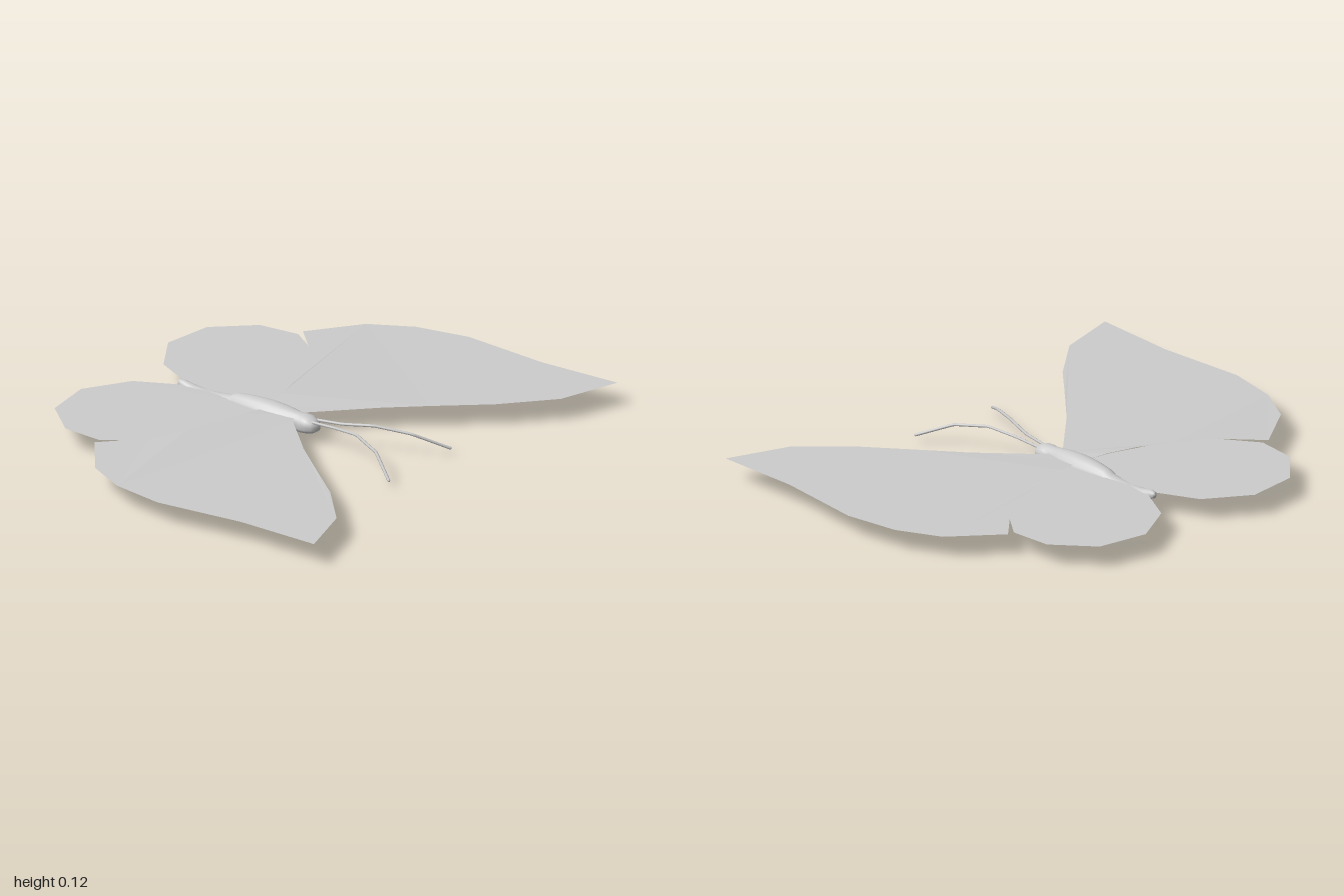
import * as THREE from 'three';

const material = new THREE.MeshStandardMaterial({ color: 0xcccccc });
const wingMaterial = new THREE.MeshStandardMaterial({ color: 0xcccccc, side: THREE.DoubleSide, flatShading: true });

// Outlines of the left wings: [x, z, height]
const FORE_WING = [
  [0, 0, 0.088], [0.05, 0.02, 0.088], [0.25, 0.22, 0.089], [0.37, 0.36, 0.09], [0.53, 0.55, 0.09],
  [0.72, 0.72, 0.09], [0.975, 0.80, 0.09], [0.965, 0.45, 0.09], [1.0, 0.08, 0.09],
  [0.96, -0.14, 0.09], [0.87, -0.31, 0.09], [0.67, -0.46, 0.09], [0.52, -0.31, 0.092],
  [0.38, -0.24, 0.095], [0.24, -0.185, 0.098], [0.12, -0.155, 0.098], [0, -0.13, 0.09],
];
const HIND_WING = [
  [0, -0.12, 0.086], [0.15, -0.14, 0.086], [0.35, -0.2, 0.087], [0.52, -0.29, 0.088],
  [0.64, -0.46, 0.089], [0.625, -0.63, 0.089], [0.49, -0.78, 0.089], [0.28, -0.81, 0.089],
  [0.1, -0.70, 0.088], [0.015, -0.53, 0.087], [0, -0.5, 0.087],
];

// Body sections from head to tail: [z, bottom, top, half width]
const BODY = [
  [0.106, 0.065, 0.065, 0], [0.103, 0.048, 0.083, 0.018], [0.09, 0.04, 0.093, 0.032],
  [0.065, 0.035, 0.103, 0.042], [0.04, 0.032, 0.105, 0.041], [0.015, 0.03, 0.105, 0.034],
  [-0.02, 0.022, 0.11, 0.042], [-0.06, 0.009, 0.115, 0.051], [-0.11, 0.003, 0.119, 0.055],
  [-0.16, 0.003, 0.119, 0.054], [-0.22, 0.012, 0.116, 0.047], [-0.28, 0.026, 0.109, 0.037],
  [-0.31, 0.033, 0.095, 0.034], [-0.36, 0.035, 0.089, 0.034], [-0.42, 0.038, 0.087, 0.031],
  [-0.48, 0.047, 0.092, 0.025], [-0.53, 0.064, 0.102, 0.018], [-0.55, 0.073, 0.1, 0.012],
  [-0.556, 0.087, 0.087, 0],
];

function createWing(name, outline, side) {
  const shape = new THREE.Shape(outline.map(([x, z]) => new THREE.Vector2(side * x, z)));
  const geometry = new THREE.ShapeGeometry(shape);
  geometry.rotateX(Math.PI / 2);
  // Lift each corner to its own height
  const pos = geometry.attributes.position;
  for (let i = 0; i < pos.count; i++) {
    const corner = outline.find(([x, z]) => Math.hypot(side * x - pos.getX(i), z - pos.getZ(i)) < 1e-4);
    pos.setY(i, corner[2]);
  }
  geometry.computeVertexNormals();
  const mesh = new THREE.Mesh(geometry, wingMaterial);
  mesh.name = name;
  return mesh;
}

function createBody() {
  const sides = 20;
  const points = [];
  const index = [];
  BODY.forEach(([z, bottom, top, width], i) => {
    for (let j = 0; j < sides; j++) {
      const a = (j / sides) * Math.PI * 2;
      const c = Math.cos(a);
      const s = Math.sin(a);
      // Rounded back, squarer belly
      const p = s < 0 ? 0.7 : 1;
      points.push(
        width * Math.sign(c) * Math.abs(c) ** p,
        (top + bottom) / 2 + ((top - bottom) / 2) * Math.sign(s) * Math.abs(s) ** p,
        z,
      );
      if (i === BODY.length - 1) continue;
      const k = (j + 1) % sides;
      const a0 = i * sides + j, b0 = i * sides + k;
      index.push(a0, a0 + sides, b0, b0, a0 + sides, b0 + sides);
    }
  });
  const geometry = new THREE.BufferGeometry();
  geometry.setAttribute('position', new THREE.Float32BufferAttribute(points, 3));
  geometry.setIndex(index);
  geometry.computeVertexNormals();
  const mesh = new THREE.Mesh(geometry, material);
  mesh.name = 'body';
  return mesh;
}

function createAntenna(name, side) {
  const path = new THREE.CurvePath();
  const points = [
    [0.015, 0.085, 0.08], [0.024, 0.093, 0.2], [0.055, 0.107, 0.325], [0.112, 0.088, 0.46], [0.197, 0.031, 0.582],
  ].map(([x, y, z]) => new THREE.Vector3(side * x, y, z));
  for (let i = 1; i < points.length; i++) path.add(new THREE.LineCurve3(points[i - 1], points[i]));
  const group = new THREE.Group();
  group.name = name;
  group.add(new THREE.Mesh(new THREE.TubeGeometry(path, 24, 0.006, 6), material));
  // Closed tip
  const tip = new THREE.Mesh(new THREE.SphereGeometry(0.006, 6, 4), material);
  tip.position.copy(points[points.length - 1]);
  group.add(tip);
  return group;
}

export function createModel() {
  const model = new THREE.Group();
  model.name = 'butterfly';
  model.add(createBody());
  for (const [label, side] of [['left', 1], ['right', -1]]) {
    model.add(
      createWing(label + 'ForeWing', FORE_WING, side),
      createWing(label + 'HindWing', HIND_WING, side),
      createAntenna(label + 'Antenna', side),
    );
  }
  return model;
}
